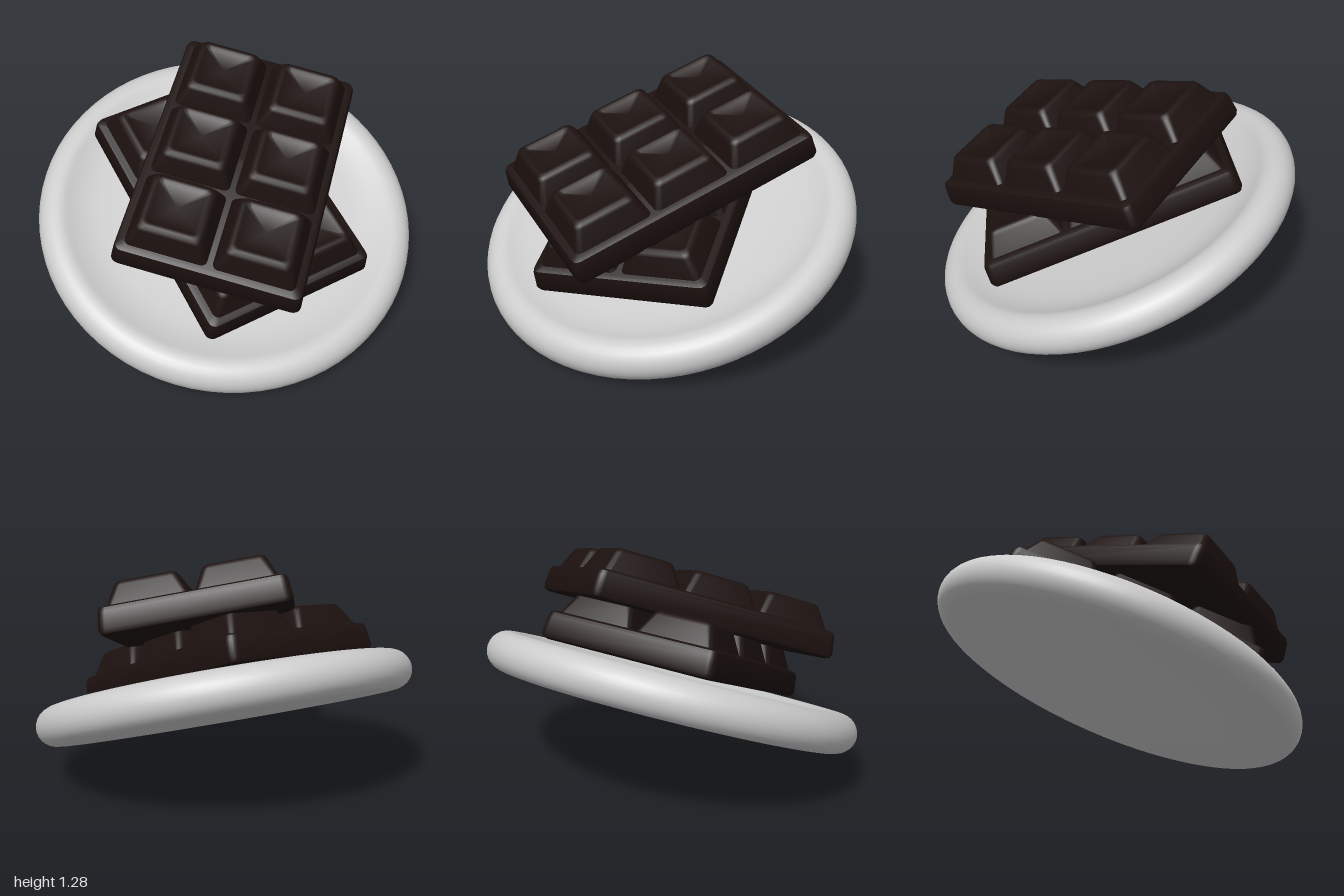
import * as THREE from 'three';
import { toCreasedNormals } from 'three/addons/utils/BufferGeometryUtils.js';

const TILT = THREE.MathUtils.degToRad(22.3);
const porcelain = new THREE.MeshStandardMaterial({ color: 0xcccccc });
const chocolate = new THREE.MeshStandardMaterial({ color: 0x1c110f });

// Stack of rounded rectangles [halfX, halfZ, cornerRadius, y], from bottom to top
function loft(rings) {
  const STEPS = 5, N = 4 * (STEPS + 1);
  const positions = [], index = [];
  for (const [hx, hz, r, y] of rings) {
    for (let q = 0; q < 4; q++) {
      const sx = q === 0 || q === 3 ? 1 : -1, sz = q < 2 ? 1 : -1;
      for (let s = 0; s <= STEPS; s++) {
        const a = (q + s / STEPS) * Math.PI / 2;
        positions.push(sx * (hx - r) + r * Math.cos(a), y, sz * (hz - r) + r * Math.sin(a));
      }
    }
  }
  for (let i = 0; i < rings.length - 1; i++) {
    for (let j = 0; j < N; j++) {
      const a = i * N + j, b = i * N + (j + 1) % N, c = a + N, d = b + N;
      index.push(a, c, b, b, c, d);
    }
  }
  const g = new THREE.BufferGeometry();
  g.setAttribute('position', new THREE.Float32BufferAttribute(positions, 3));
  g.setIndex(index);
  return toCreasedNormals(g, 0.7);
}

// Round plate with a fat rolled rim and a shallow dish
function makePlate() {
  const r = 0.103, ring = 0.897;
  const profile = [new THREE.Vector2(0, -r), new THREE.Vector2(0.6, -r)];
  for (let i = 0; i <= 16; i++) {
    const a = -Math.PI / 2 + (i / 16) * Math.PI * 1.2;
    profile.push(new THREE.Vector2(ring + r * Math.cos(a), r * Math.sin(a)));
  }
  for (const [x, y] of [[0.79, 0.066], [0.74, 0.053], [0.67, 0.045], [0.55, 0.042], [0, 0.042]]) {
    profile.push(new THREE.Vector2(x, y));
  }
  const plate = new THREE.Mesh(new THREE.LatheGeometry(profile, 72), porcelain);
  plate.name = 'plate';
  return plate;
}

// Slab with softened edges
const HX = 0.468, HZ = 0.675, SLAB = 0.145;
const slabGeometry = loft([
  [0, 0, 0, 0], [HX - 0.03, HZ - 0.03, 0.02, 0], [HX - 0.009, HZ - 0.009, 0.033, 0.009],
  [HX, HZ, 0.04, 0.03], [HX - 0.008, HZ - 0.008, 0.04, SLAB - 0.03],
  [HX - 0.016, HZ - 0.016, 0.035, SLAB - 0.009], [HX - 0.037, HZ - 0.037, 0.025, SLAB], [0, 0, 0, SLAB],
]);

// Tapered square with a faint panel sunk into its top
const pieceGeometry = loft([
  [0.205, 0.205, 0.03, -0.01], [0.195, 0.195, 0.03, 0.015], [0.162, 0.162, 0.035, 0.095],
  [0.154, 0.154, 0.035, 0.111], [0.138, 0.138, 0.03, 0.119], [0.122, 0.122, 0.025, 0.119],
  [0.112, 0.112, 0.022, 0.111], [0, 0, 0, 0.111],
]);

// Bar of two by three squares
function makeBar(name) {
  const bar = new THREE.Group();
  bar.name = name;
  const slab = new THREE.Mesh(slabGeometry, chocolate);
  slab.name = 'slab';
  bar.add(slab);
  for (let i = 0; i < 2; i++) {
    for (let j = 0; j < 3; j++) {
      const piece = new THREE.Mesh(pieceGeometry, chocolate);
      piece.name = 'square';
      piece.position.set((i - 0.5) * 0.43, SLAB, (j - 1) * 0.425);
      bar.add(piece);
    }
  }
  return bar;
}

export function createModel() {
  const model = new THREE.Group();
  model.name = 'chocolatePlate';
  const tilted = new THREE.Group();
  tilted.name = 'tiltedPlate';
  tilted.rotation.x = TILT;
  tilted.position.y = 0.897 * Math.sin(TILT) + 0.103;
  tilted.add(makePlate());

  // Two bars crossed on top of each other
  const lower = makeBar('lowerBar');
  lower.position.set(-0.01, 0.115, -0.018);
  lower.rotation.y = THREE.MathUtils.degToRad(13.5);
  const upper = makeBar('upperBar');
  upper.position.set(0.025, 0.36, -0.018);
  upper.rotation.y = THREE.MathUtils.degToRad(-29.7);
  tilted.add(lower, upper);

  model.add(tilted);
  return model;
}
